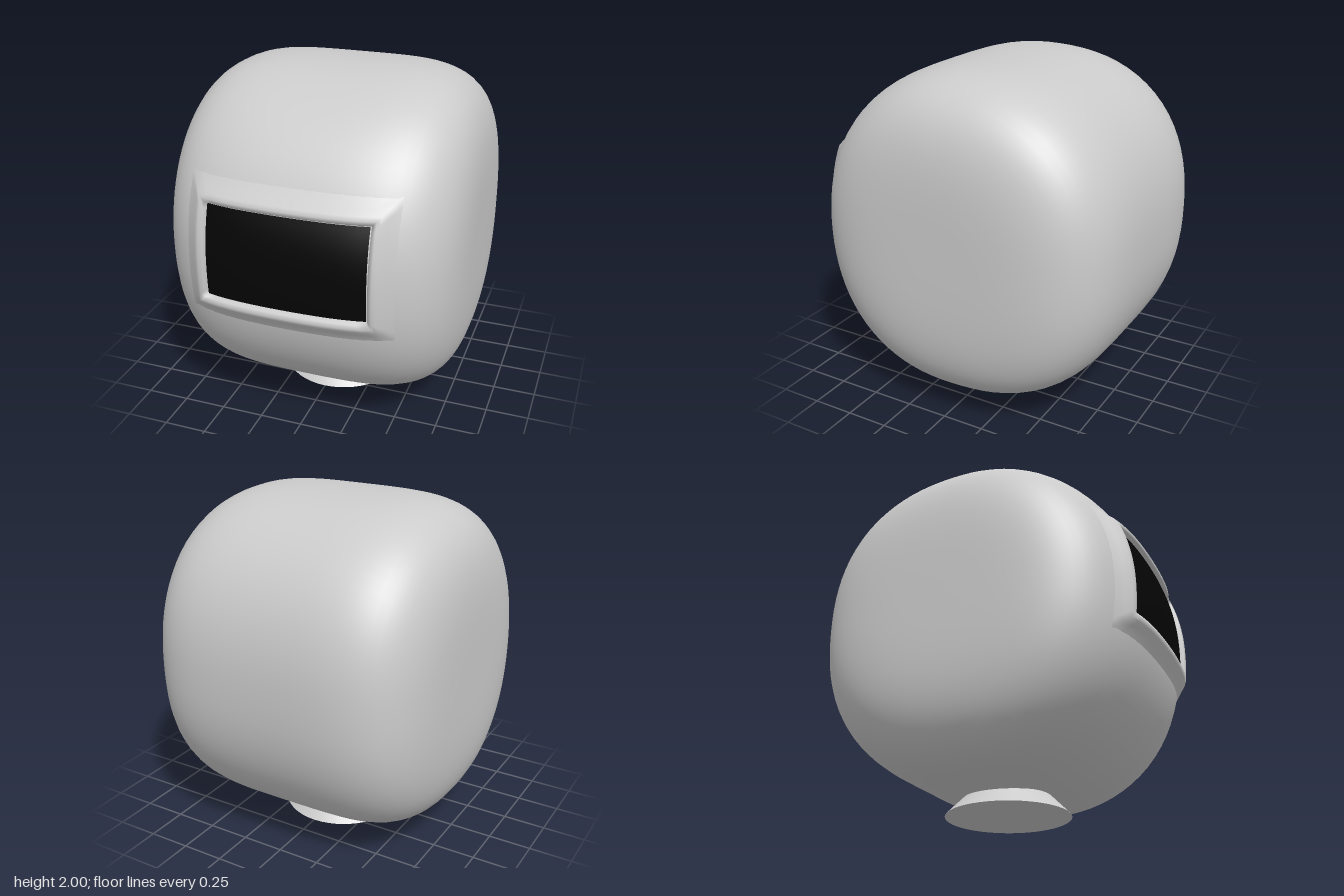
import * as THREE from 'three';
import { mergeVertices } from 'three/addons/utils/BufferGeometryUtils.js';

const HALF_WIDTH = 0.86, RADIUS = 0.955, CENTER_Y = 1.045, POWER = 4.2;
const WINDOW = { x: 0.45, bottom: 0.885, top: 1.4 };

// Roundness of the side outline: squarer at the back, rounder at the upper front
const roundness = (y, z) => (z < 0 ? 2.36 : y < 0 ? 2.25 : 2.08);
// The front narrows a little toward its sides
const taper = (x) => 1 - 0.12 * x * x;

// Front surface depth at a given x and height
function frontZ(x, height) {
  const y = height - CENTER_Y;
  const m = roundness(y, 1);
  const r = RADIUS * (1 - (Math.abs(x) / HALF_WIDTH) ** POWER) ** (1 / POWER);
  return (r ** m - Math.abs(y) ** m) ** (1 / m) * taper(x);
}

// Grid of points joined into a smooth surface
function gridGeometry(rows, cols, point) {
  const positions = [], index = [];
  for (let i = 0; i <= rows; i++) {
    for (let j = 0; j <= cols; j++) positions.push(...point(i, j));
  }
  for (let i = 0; i < rows; i++) {
    for (let j = 0; j < cols; j++) {
      const a = i * (cols + 1) + j, b = a + 1, c = a + cols + 1, d = c + 1;
      index.push(a, c, b, b, c, d);
    }
  }
  let geometry = new THREE.BufferGeometry();
  geometry.setAttribute('position', new THREE.Float32BufferAttribute(positions, 3));
  geometry.setIndex(index);
  geometry = mergeVertices(geometry, 1e-5);
  geometry.computeVertexNormals();
  return geometry;
}

// Rounded drum lying along x
function bodyGeometry() {
  let geometry = new THREE.SphereGeometry(1, 80, 64).rotateZ(Math.PI / 2);
  geometry.deleteAttribute('uv');
  geometry.deleteAttribute('normal');
  const p = geometry.attributes.position;
  const v = new THREE.Vector3();
  for (let i = 0; i < p.count; i++) {
    v.fromBufferAttribute(p, i);
    const m = roundness(v.y, v.z);
    const r = (Math.abs(v.y) ** m + Math.abs(v.z) ** m) ** (1 / m);
    const size = ((Math.abs(v.x) / HALF_WIDTH) ** POWER + (r / RADIUS) ** POWER) ** (1 / POWER);
    v.divideScalar(size);
    if (v.z > 0) v.z *= taper(v.x);
    p.setXYZ(i, v.x, v.y + CENTER_Y, v.z);
  }
  geometry = mergeVertices(geometry, 1e-5);
  geometry.computeVertexNormals();
  return geometry;
}

// Raised lip around the window: rings of [outward offset, height above body]
function frameGeometry() {
  const rings = [[0, -0.02], [0.012, 0.034], [0.035, 0.045], [0.055, 0.04],
    [0.085, 0.02], [0.12, 0.004], [0.17, -0.012]];
  const perSide = 16;
  const corners = [[-1, 0], [1, 0], [1, 1], [-1, 1]];
  return gridGeometry(rings.length - 1, perSide * 4, (i, j) => {
    const [offset, lift] = rings[i];
    const side = Math.floor(j / perSide) % 4, t = (j % perSide) / perSide;
    const a = corners[side], b = corners[(side + 1) % 4];
    const u = a[0] + (b[0] - a[0]) * t, w = a[1] + (b[1] - a[1]) * t;
    const x = u * (WINDOW.x + offset);
    const y = WINDOW.bottom - offset + w * (WINDOW.top - WINDOW.bottom + 2 * offset);
    return [x, y, frontZ(x, y) + lift];
  });
}

// Curved dark pane filling the window
function paneGeometry() {
  const rows = 16, cols = 24;
  return gridGeometry(rows, cols, (i, j) => {
    const x = WINDOW.x * (2 * j / cols - 1);
    const y = WINDOW.top + (WINDOW.bottom - WINDOW.top) * i / rows;
    return [x, y, frontZ(x, y) + 0.01];
  });
}

export function createModel() {
  const group = new THREE.Group();
  const grey = new THREE.MeshStandardMaterial({ color: 0xcccccc });
  const greyThin = new THREE.MeshStandardMaterial({ color: 0xcccccc, side: THREE.DoubleSide });
  const black = new THREE.MeshStandardMaterial({ color: 0x050505, side: THREE.DoubleSide });

  const add = (name, geometry, material) => {
    const mesh = new THREE.Mesh(geometry, material);
    mesh.name = name;
    group.add(mesh);
    return mesh;
  };

  add('body', bodyGeometry(), grey);
  add('windowFrame', frameGeometry(), greyThin);
  add('windowPane', paneGeometry(), black);

  // Flared foot
  const foot = add('foot', new THREE.CylinderGeometry(0.22, 0.36, 0.14, 48), grey);
  foot.position.set(0, 0.07, -0.02);

  return group;
}
